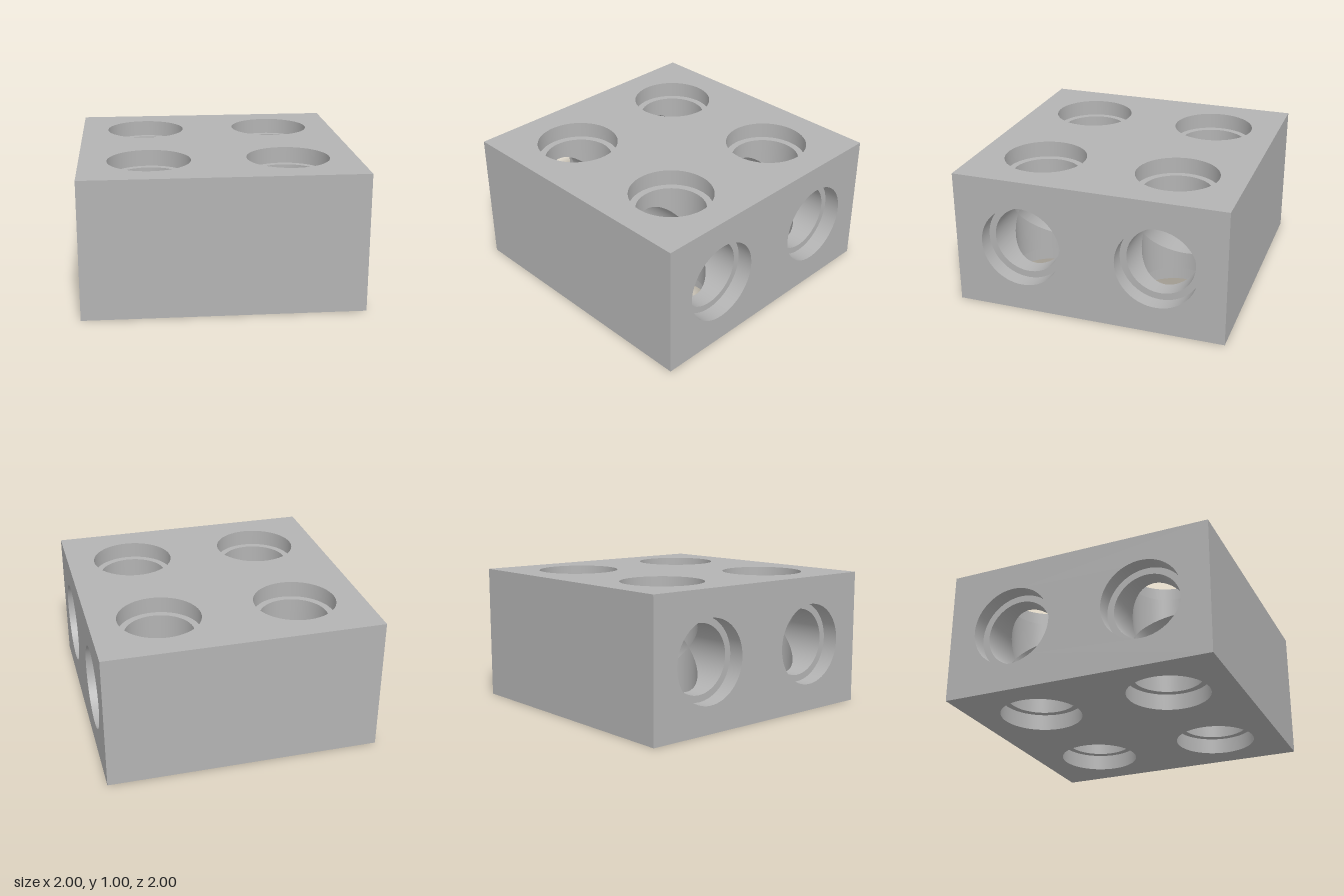
import * as THREE from 'three';

const BORE = 0.25, RIM = 0.3, DEPTH = 0.12, SEG = 64;
const grey = new THREE.MeshStandardMaterial({ color: 0xb3b3b3, side: THREE.DoubleSide });
grey.name = 'grey';

function mesh(geometry, name) {
  const m = new THREE.Mesh(geometry, grey);
  m.name = name;
  return m;
}

// Flat face in the xy plane, facing +z, with round holes
function face(w, h, holes, name) {
  const s = new THREE.Shape([[-1, -1], [1, -1], [1, 1], [-1, 1]]
    .map(([x, y]) => new THREE.Vector2(x * w / 2, y * h / 2)));
  for (const [x, y] of holes) s.holes.push(new THREE.Path().absarc(x, y, RIM, 0, Math.PI * 2, true));
  return mesh(new THREE.ShapeGeometry(s, SEG / 2), name);
}

// Bore wall along y; its ends follow the curve where crossing bores meet
function boreWall(from, to) {
  const g = new THREE.CylinderGeometry(BORE, BORE, 1, SEG, 1, true);
  const p = g.attributes.position;
  for (let i = 0; i < p.count; i++) {
    const chord = Math.abs(p.getX(i));
    p.setY(i, p.getY(i) > 0 ? to(chord) : from(chord));
  }
  return mesh(g, 'boreWall');
}

// Wider recess and its ledge at one end of a bore; end is +1 or -1
function recess(half, end) {
  const g = new THREE.Group();
  g.name = 'recess';
  const wall = mesh(new THREE.CylinderGeometry(RIM, RIM, DEPTH, SEG, 1, true), 'recessWall');
  wall.position.y = end * (half - DEPTH / 2);
  const ledge = mesh(new THREE.RingGeometry(BORE, RIM, SEG), 'recessLedge');
  ledge.rotation.x = -end * Math.PI / 2;
  ledge.position.y = end * (half - DEPTH);
  g.add(wall, ledge);
  return g;
}

// Whole bore along y, crossed by other bores at the given heights
function bore(half, crossings, name) {
  const g = new THREE.Group();
  g.name = name;
  const inner = half - DEPTH;
  let from = () => -inner;
  for (const c of crossings) {
    g.add(boreWall(from, (d) => c - d));
    from = (d) => c + d;
  }
  g.add(boreWall(from, () => inner), recess(half, 1), recess(half, -1));
  return g;
}

export function createModel() {
  const model = new THREE.Group();
  model.name = 'drilledBlock';
  const grid = [[-0.5, -0.5], [0.5, -0.5], [-0.5, 0.5], [0.5, 0.5]];
  const pair = [[-0.5, 0], [0.5, 0]];

  // Outer faces
  const top = face(2, 2, grid, 'topFace');
  top.rotation.x = -Math.PI / 2;
  top.position.y = 1;
  const bottom = face(2, 2, grid, 'bottomFace');
  bottom.rotation.x = Math.PI / 2;
  model.add(top, bottom);
  ['frontFace', 'leftFace', 'backFace', 'rightFace'].forEach((name, i) => {
    const f = face(2, 1, i % 2 ? pair : [], name);
    const a = i * Math.PI / 2;
    f.rotation.y = a;
    f.position.set(Math.sin(a), 0.5, Math.cos(a));
    model.add(f);
  });

  // Four vertical bores
  for (const [x, z] of grid) {
    const b = bore(0.5, [0], 'verticalBore');
    b.position.set(x, 0.5, z);
    model.add(b);
  }

  // Two cross bores from side to side
  for (const z of [-0.5, 0.5]) {
    const b = bore(1, [-0.5, 0.5], 'crossBore');
    b.rotation.z = -Math.PI / 2;
    b.position.set(0, 0.5, z);
    model.add(b);
  }
  return model;
}
